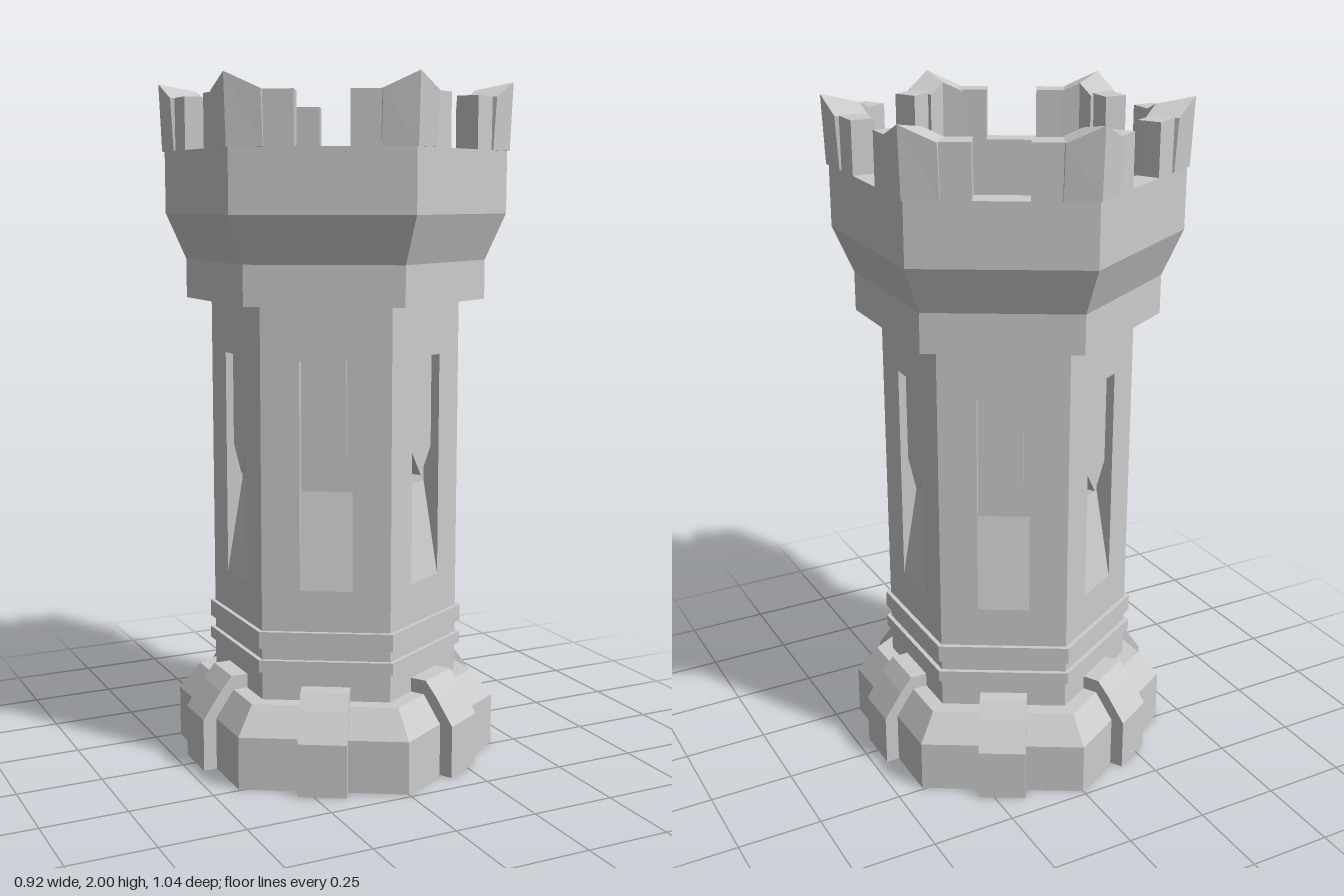
import * as THREE from 'three';

const T30 = Math.tan(Math.PI / 6);
const C30 = Math.cos(Math.PI / 6);

export function createModel() {
  const tower = new THREE.Group();
  tower.name = 'hexagonalTower';
  const material = new THREE.MeshStandardMaterial({ color: 0xcccccc, flatShading: true });

  const add = (name, geometry, angle = 0) => {
    const mesh = new THREE.Mesh(geometry, material);
    mesh.name = name;
    mesh.rotation.y = angle;
    tower.add(mesh);
  };
  const addSix = (name, geometry) => {
    for (let i = 0; i < 6; i++) add(name, geometry, i * Math.PI / 3);
  };
  const polygon = pts => new THREE.Shape(pts.map(([a, b]) => new THREE.Vector2(a, b)));
  const extrude = (pts, depth) =>
    new THREE.ExtrudeGeometry(polygon(pts), { depth, bevelEnabled: false });

  // Six-sided turned part; profile is [distance to flat side, height]
  const hexLathe = profile =>
    new THREE.LatheGeometry(profile.map(([a, y]) => new THREE.Vector2(a / C30, y)), 6);

  // Upright prism from a floor plan of [x, z] points
  const prism = (plan, y0, y1) =>
    extrude(plan.map(([x, z]) => [x, -z]), y1 - y0).rotateX(-Math.PI / 2).translate(0, y0, 0);

  // Side profile [x, y] given a width, facing +x
  const slab = (profile, width) => extrude(profile, width).translate(0, 0, -width / 2);

  // Floor plan of one wall half, from the corner on +z to the gap in the face
  const wallHalf = (outer, inner, gap, side) => {
    const run = outer * T30 - gap;
    const ex = run * C30, ez = outer / C30 - run / 2;
    const t = outer - inner;
    return [[0, outer / C30], [side * ex, ez],
      [side * (ex - t / 2), ez - t * C30], [0, inner / C30]];
  };

  // Base with sloped shoulder and buttress blocks
  add('base', hexLathe([[0, 0], [0.42, 0], [0.42, 0.155], [0.364, 0.235], [0.25, 0.235]]));
  addSix('baseBlock', slab([[0.25, 0], [0.46, 0], [0.46, 0.155], [0.405, 0.235],
    [0.37, 0.277], [0.25, 0.277]], 0.14));

  // Shaft: corner posts, with a sloped recess in each face
  for (const side of [-1, 1])
    addSix('shaftCorner', prism(wallHalf(0.32, 0.2, 0.075, side), 0.2, 1.4));
  addSix('windowRecess', slab([[0.18, 0.2], [0.32, 0.2], [0.32, 0.56], [0.27, 0.84],
    [0.27, 1.22], [0.32, 1.22], [0.32, 1.4], [0.18, 1.4]], 0.15));

  // Pointed raised panel in each recess
  addSix('windowPanel', extrude([[-0.055, 1.22], [-0.055, 0.95], [0, 0.87],
    [0.055, 0.95], [0.055, 1.22]], 0.045).rotateY(Math.PI / 2).translate(0.26, 0, 0));

  // Two bands around the foot of the shaft
  for (const [y0, y1] of [[0.32, 0.355], [0.39, 0.44]])
    add('shaftBand', hexLathe([[0.28, y0], [0.333, y0], [0.333, y1], [0.28, y1]]));

  // Flared crown with hollow top
  add('crown', hexLathe([[0, 1.375], [0.385, 1.375], [0.385, 1.49], [0.437, 1.625],
    [0.437, 1.805], [0.368, 1.805], [0.368, 1.5], [0, 1.5]]));

  // Battlements: low wall at each corner with a taller peaked cap
  for (const side of [-1, 1]) {
    addSix('merlon', prism(wallHalf(0.437, 0.368, 0.075, side), 1.8, 1.955));

    const cap = prism([[0, 0.52], [side * 0.085, 0.47], [side * 0.055, 0.38], [0, 0.41]],
      1.805, 2);
    const p = cap.attributes.position;
    for (let i = 0; i < p.count; i++) {
      const x = p.getX(i), z = p.getZ(i);
      if (p.getY(i) > 1.9) p.setY(i, 2 - 0.41 * Math.abs(x) - 0.2 * (0.52 - z));
      else if (z > 0.45) p.setZ(i, z - 0.008);
    }
    cap.computeVertexNormals();
    addSix('merlonCap', cap);
  }
  return tower;
}
